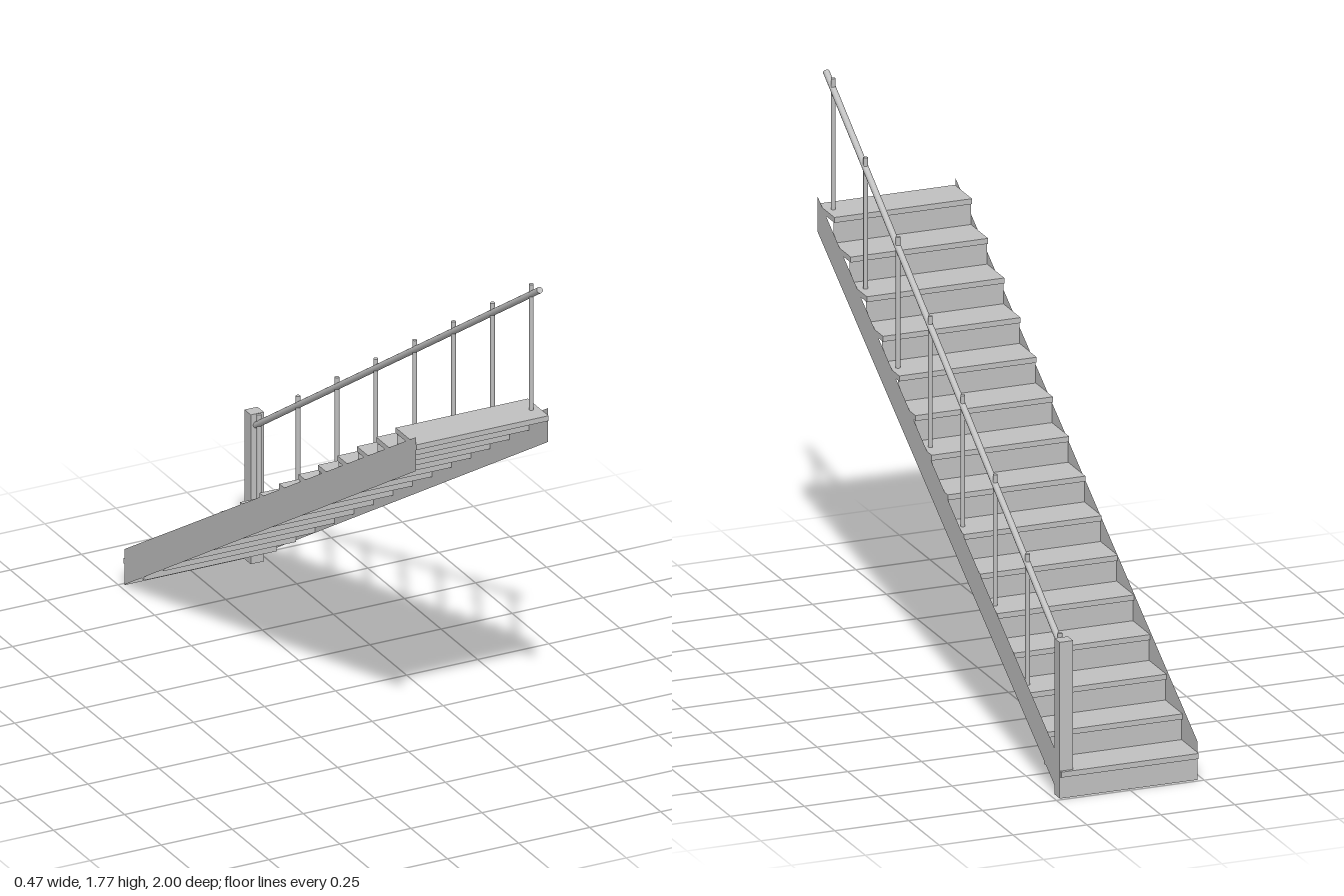
import * as THREE from 'three';

const STEPS = 15, RISE = 0.0882, RUN = 0.1328;
const FRONT = -0.997, HALF = 0.2325, DEPTH = 0.141, THICK = 0.018;

export function createModel() {
  const group = new THREE.Group();
  const grey = new THREE.MeshStandardMaterial({ color: 0xc0c0c0, side: THREE.DoubleSide });
  grey.name = 'plain grey';

  const add = (name, geometry, x, y, z) => {
    const mesh = new THREE.Mesh(geometry, grey);
    mesh.name = name;
    mesh.position.set(x, y, z);
    group.add(mesh);
    return mesh;
  };

  // Treads, each with a thin riser sheet set just behind its nosing
  const treadGeo = new THREE.BoxGeometry(HALF * 2, THICK, DEPTH);
  for (let i = 0; i < STEPS; i++) {
    const front = FRONT + i * RUN;
    const top = 0.09 + i * RISE;
    const bottom = top - THICK;
    add('tread', treadGeo, 0, top - THICK / 2, front + DEPTH / 2);
    const low = i === 0 ? 0 : bottom - RISE;
    const riser = add('riser', new THREE.PlaneGeometry(HALF * 2, bottom - low),
      0, (bottom + low) / 2, front + 0.0085);
    riser.rotation.y = Math.PI;
  }

  // Sloping side stringers, thin sheets with vertical ends
  const stringerShape = new THREE.Shape([
    new THREE.Vector2(-0.988, 0.002),
    new THREE.Vector2(1, 1.233),
    new THREE.Vector2(1, 1.35),
    new THREE.Vector2(-0.988, 0.125),
  ]);
  for (const side of [-1, 1]) {
    const geo = new THREE.ShapeGeometry(stringerShape);
    geo.rotateY(-Math.PI / 2); // shape x becomes z
    const x = side < 0 ? -HALF - 0.0005 : HALF + 0.0005;
    add(side < 0 ? 'rightStringer' : 'leftStringer', geo, x, 0, 0);
  }

  // Newel post at the foot
  add('newelPost', new THREE.BoxGeometry(0.046, 0.517, 0.043), 0.2105, 0.2585, -0.9645);

  // Balusters on every second tread
  const railX = 0.206;
  const balusterGeo = new THREE.CylinderGeometry(0.0075, 0.0075, 0.436, 12);
  for (let i = 0; i < 8; i++) {
    add('baluster', balusterGeo, railX, 0.306 + i * RISE * 2, -0.922 + i * RUN * 2);
  }

  // Round handrail running from the post to the top
  const a = new THREE.Vector3(railX, 0.478, -0.943);
  const b = new THREE.Vector3(railX, 1.762, 0.995);
  const dir = b.clone().sub(a);
  const rail = add('handrail', new THREE.CylinderGeometry(0.0105, 0.0105, dir.length(), 12),
    railX, (a.y + b.y) / 2, (a.z + b.z) / 2);
  rail.quaternion.setFromUnitVectors(new THREE.Vector3(0, 1, 0), dir.normalize());

  return group;
}
